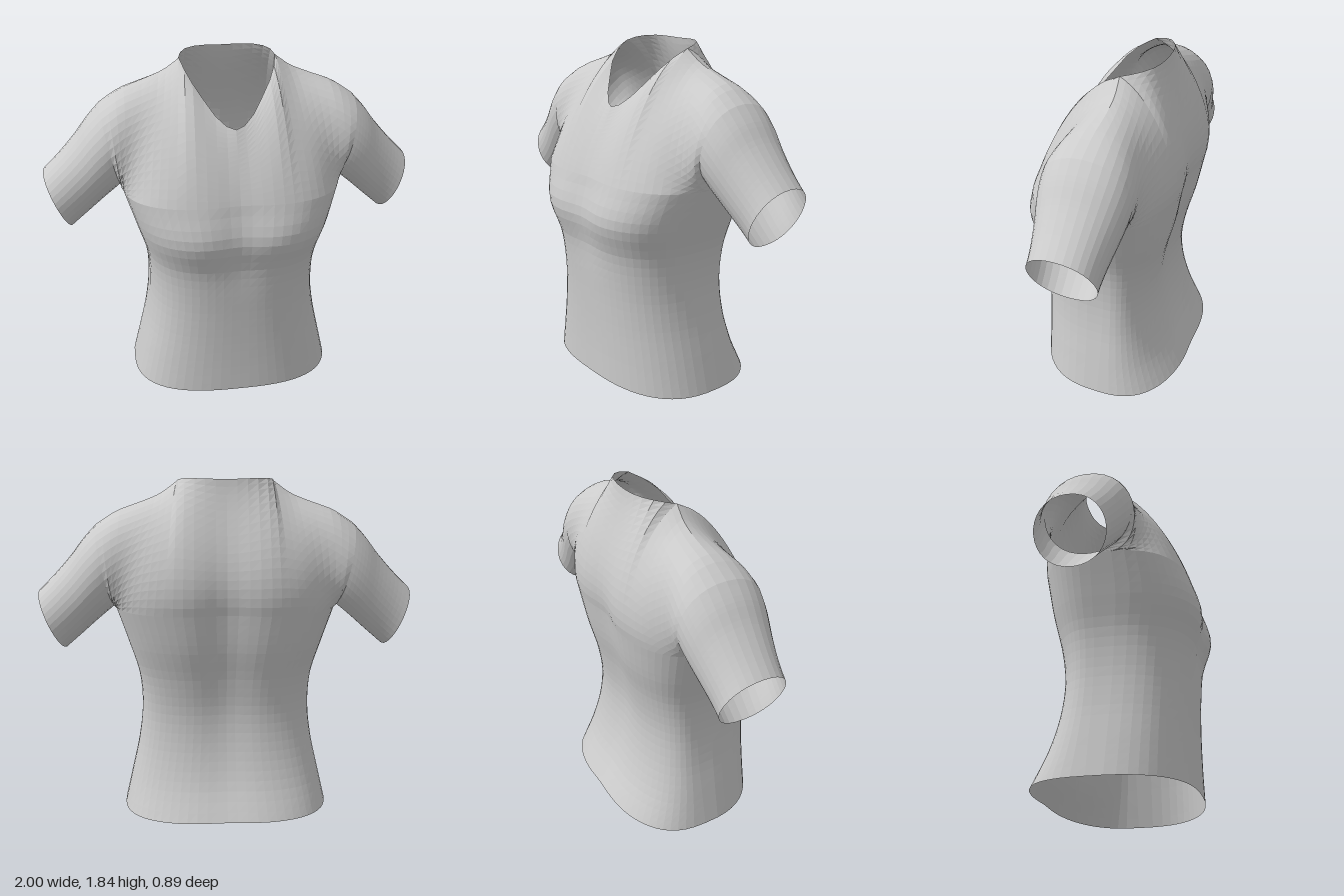
import * as THREE from 'three';
import { mergeGeometries } from 'three/addons/utils/BufferGeometryUtils.js';

const N = 16;             // columns from the centre line to the armpit, and again to the cuff
const NECK = 6 / N;       // column fraction where the neckline meets the shoulder
const ARMPIT = 1.16;      // height where the torso ends and the yoke starts
const SEAM_Z = -0.065;    // depth of the side seam and the sleeve axis
const V = (x, y, z) => new THREE.Vector3(x, y, z);
const curve = (...pts) => new THREE.CatmullRomCurve3(pts.map(p => V(...p)), false, 'catmullrom', 0.5);
const { lerp, smoothstep } = THREE.MathUtils;

// Torso: half width, front depth, back depth at even heights from hem to armpit
const torsoProfile = curve(
  [0.575, 0.388, -0.455], [0.53, 0.383, -0.362], [0.487, 0.383, -0.308], [0.464, 0.39, -0.292],
  [0.474, 0.41, -0.318], [0.528, 0.462, -0.365], [0.59, 0.405, -0.398]);

// Edges of the yoke and sleeve
const neckFront = curve([0, 1.51, 0.22], [0.07, 1.54, 0.19], [0.15, 1.64, 0.115], [0.22, 1.745, 0.03], [0.253, 1.812, -0.08]);
const neckBack = curve([0, 1.835, -0.238], [0.08, 1.837, -0.235], [0.16, 1.838, -0.215], [0.23, 1.832, -0.16], [0.253, 1.812, -0.08]);
const shoulder = curve([0.253, 1.812, -0.08], [0.34, 1.75, -0.09], [0.45, 1.705, -0.09], [0.57, 1.66, -0.08], [0.68, 1.59, -0.07]);
const sleeveTop = curve([0.68, 1.59, -0.07], [0.75, 1.515, -0.067], [0.82, 1.425, SEAM_Z], [0.91, 1.325, SEAM_Z], [0.998, 1.238, SEAM_Z]);
const underarm = curve([0.59, ARMPIT, SEAM_Z], [0.68, 1.085, SEAM_Z], [0.77, 1.005, SEAM_Z], [0.862, 0.925, SEAM_Z]);

// Point on the torso: u 0 at the centre line, 1 at the side seam; t 0 at the hem
function torsoPoint(u, t, front) {
  const p = torsoProfile.getPoint(t), y = t * ARMPIT;
  const s = Math.sin(u * Math.PI / 2), x = p.x * s;
  const n = front ? 2.6 + 0.4 * t : 2.6;
  const round = Math.pow(Math.max(0, 1 - Math.pow(s, n)), 1 / n);
  const groove = Math.exp(-Math.pow(x / 0.14, 2));
  const dip = front ? -0.035 * Math.exp(-Math.pow((y - 1) / 0.25, 2)) : 0.01 + 0.03 * t;
  const z = SEAM_Z + ((front ? p.y : p.z) - SEAM_Z) * round + dip * groove;
  return V(x, y + 0.02 * (1 - s * s) * Math.pow(1 - t, 6), z);
}

// Point on the yoke (u up to 1) and sleeve (u 1 to 2): v runs from the bottom to the top edge
function yokePoint(u, v, front) {
  const B = u <= 1 ? torsoPoint(u, 1, front) : underarm.getPoint(u - 1);
  const T = u <= NECK ? (front ? neckFront : neckBack).getPoint(u / NECK)
    : u <= 1 ? shoulder.getPoint((u - NECK) / (1 - NECK)) : sleeveTop.getPoint(u - 1);
  const H = T.y - B.y;
  const sleeveZ = SEAM_Z + 4 / 3 * lerp(0.232, 0.178, smoothstep(u, 1, 2)) * (front ? 1 : -1);
  const w1 = smoothstep(u, 0.5, 1), w2 = smoothstep(u, NECK, 1), k = smoothstep(u, 0, NECK);
  // The chest and back curves ease into the round armhole
  const c1 = V(lerp(B.x, T.x, 0.33), B.y + 0.38 * H, B.z - (front ? 0.13 * H : 0.07))
    .lerp(V(B.x, B.y, sleeveZ), w1);
  const c2 = V(lerp(T.x, B.x, 0.33),
    T.y - (front ? lerp(0.22 * H, 0.09, k) : lerp(0.2, 0.07, k)),
    front ? T.z + lerp(0.13 * H, 0.17, k) : lerp(-0.268, -0.26, k))
    .lerp(V(T.x, T.y, sleeveZ), w2);
  return new THREE.CubicBezierCurve3(B, c1, c2, T).getPoint(v);
}

// Panel spanning u = -uMax..uMax, mirrored about the centre, facing outward
function panel(pointAt, uMax, rows, front) {
  const cols = 2 * N * uMax, pos = [], idx = [];
  for (let j = 0; j <= rows; j++) {
    for (let i = 0; i <= cols; i++) {
      const u = (i / cols * 2 - 1) * uMax * (front ? 1 : -1);
      const p = pointAt(Math.abs(u), j / rows, front);
      pos.push(u < 0 ? -p.x : p.x, p.y, p.z);
      if (i < cols && j < rows) {
        const a = j * (cols + 1) + i, c = a + cols + 1;
        idx.push(a, a + 1, c + 1, a, c + 1, c);
      }
    }
  }
  const g = new THREE.BufferGeometry();
  g.setAttribute('position', new THREE.Float32BufferAttribute(pos, 3));
  g.setIndex(idx);
  g.computeVertexNormals();
  return g;
}

export function createModel() {
  const group = new THREE.Group();
  group.name = 'shirt';
  const cloth = new THREE.MeshStandardMaterial({ color: 0xcccccc, flatShading: true, side: THREE.DoubleSide });
  const add = (name, pointAt, uMax, rows) => {
    const mesh = new THREE.Mesh(mergeGeometries([true, false].map(f => panel(pointAt, uMax, rows, f))), cloth);
    mesh.name = name;
    group.add(mesh);
  };
  add('torso', torsoPoint, 1, 22);
  add('yokeAndSleeves', yokePoint, 2, 16);
  return group;
}
